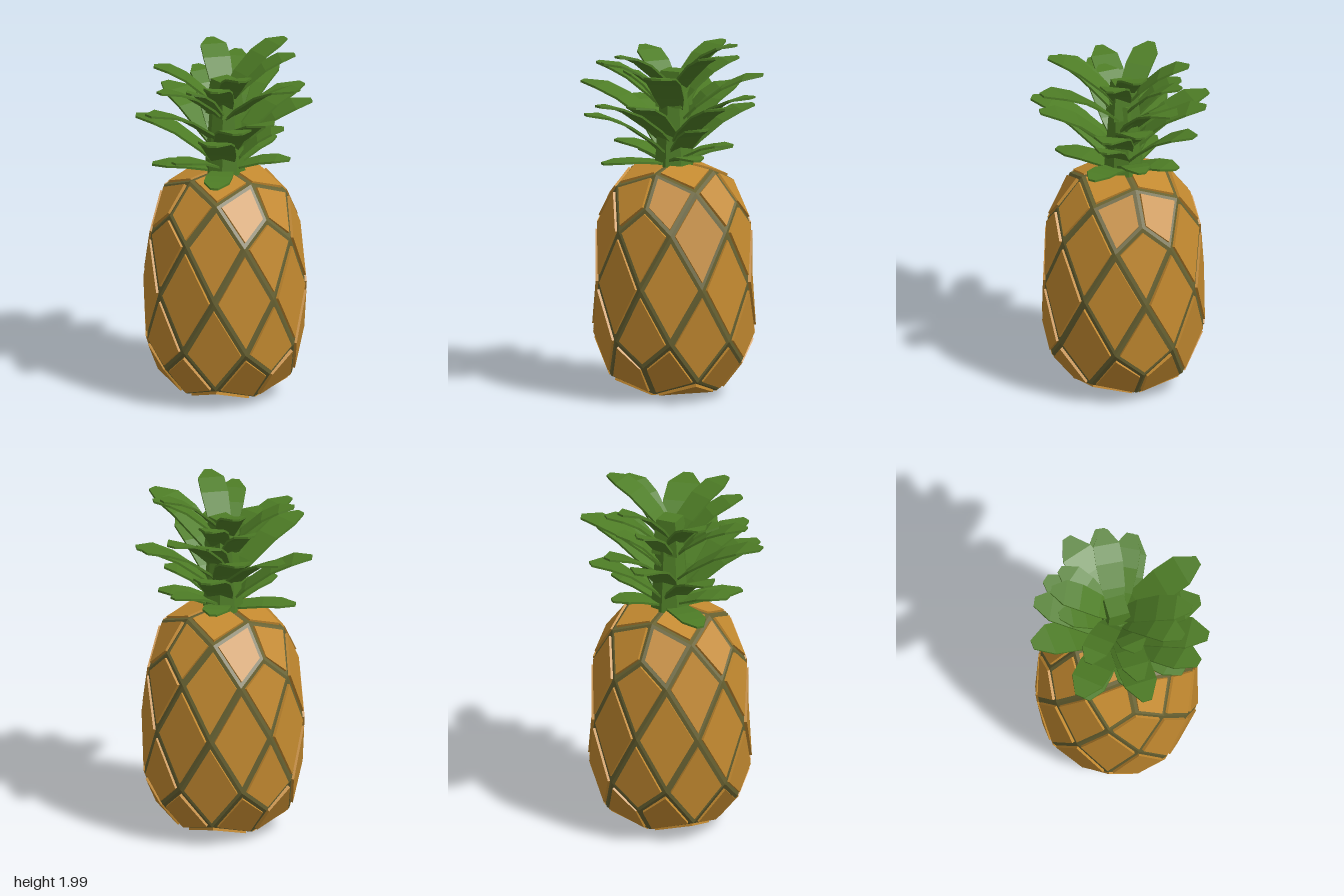
import * as THREE from 'three';

const material = (name, color) => Object.assign(new THREE.MeshStandardMaterial({ color }), { name });
const orange = material('orangeRind', 0xc48a30);
const olive = material('oliveGroove', 0x686232);
const green = material('leafGreen', 0x4e7d26);

const V = (x, y, z) => new THREE.Vector3(x, y, z);
const CENTRE = V(0.01, 0, -0.03); // axis of the fruit
const quadNormal = q => q[2].clone().sub(q[0]).cross(q[3].clone().sub(q[1])).normalize();

// Collects quads (corners counter-clockwise from outside), each with one normal
class QuadBuilder {
  constructor() { this.pos = []; this.nor = []; }
  quad(a, b, c, d) {
    const n = quadNormal([a, b, c, d]);
    for (const p of [a, b, c, a, c, d]) {
      this.pos.push(p.x, p.y, p.z);
      this.nor.push(n.x, n.y, n.z);
    }
  }
  mesh(mat, name) {
    const g = new THREE.BufferGeometry();
    g.setAttribute('position', new THREE.Float32BufferAttribute(this.pos, 3));
    g.setAttribute('normal', new THREE.Float32BufferAttribute(this.nor, 3));
    const m = new THREE.Mesh(g, mat);
    m.name = name;
    return m;
  }
}

// The 48 faces of the fruit: a rhombic dodecahedron with each rhombus cut in four
function fruitQuads() {
  const quads = [];
  for (let k = 0; k < 4; k++) {
    const P = (x, y, z) => {
      const f = 1 - 0.05 * y / 0.6; // slightly narrower at the top
      return V(x * f, y, z * f).applyAxisAngle(V(0, 1, 0), k * Math.PI / 2);
    };
    const A = P(0, 0, 0.444);
    for (const s of [1, -1]) {
      const B = m => P(0.168 * m, 0.305 * s, 0.396);
      const C = m => P(0.279 * m, 0.443 * s, 0.279);
      const E = m => P(0.178 * m, 0.613 * s, 0.178);
      const D = P(0, 0.53 * s, 0.354);
      const F = P(0, 0.646 * s, 0);
      quads.push([A, B(1), D, B(-1)], [F, E(1), D, E(-1)]);
      quads.push([B(1), P(0.316, 0, 0.316), P(0.396, 0.305 * s, 0.168), C(1)]);
      for (const m of [1, -1]) quads.push([C(m), B(m), D, E(m)]);
    }
    for (const m of [1, -1])
      quads.push([A, P(0.168 * m, 0.305, 0.396), P(0.316 * m, 0, 0.316), P(0.168 * m, -0.305, 0.396)]);
  }
  return quads;
}

// Grooved core with a raised tile on every face
function buildFruit() {
  const core = new QuadBuilder(), tiles = new QuadBuilder();
  for (const q of fruitQuads()) {
    const mid = q.reduce((s, p) => s.add(p), V(0, 0, 0));
    if (quadNormal(q).dot(mid) < 0) q.reverse();
    const n = quadNormal(q);
    core.quad(...q);
    const inset = q.map((p, i) => {
      const a = q[(i + 3) % 4].clone().sub(p).normalize();
      const b = q[(i + 1) % 4].clone().sub(p).normalize();
      const w = 0.02 / a.clone().cross(b).length();
      return p.clone().addScaledVector(a.add(b), w);
    });
    const top = inset.map(p => p.clone().addScaledVector(n, 0.014));
    const low = inset.map(p => p.clone().addScaledVector(n, -0.006));
    tiles.quad(...top);
    for (let i = 0; i < 4; i++) {
      const j = (i + 1) % 4;
      tiles.quad(low[i], low[j], top[j], top[i]);
    }
  }
  const g = new THREE.Group();
  g.name = 'fruit';
  g.add(core.mesh(olive, 'grooves'), tiles.mesh(orange, 'rindTiles'));
  g.position.set(CENTRE.x, 0.66, CENTRE.z);
  return g;
}

// One thin arching leaf from the stem to its tip: [t along leaf, half width]
const LEAF = [[0.04, 0.05], [0.26, 0.08], [0.55, 0.092], [0.79, 0.089], [1, 0.026]];
function buildLeaf([x, y, z], { width, lift }) {
  const dx = x - CENTRE.x, dz = z - CENTRE.z;
  const reach = Math.hypot(dx, dz);
  const out = V(dx / reach, 0, dz / reach), side = V(out.z, 0, -out.x);
  const baseY = Math.max(1.29, y - lift);
  const rise = y - baseY;
  const rings = LEAF.map(([t, w]) => {
    const c = CENTRE.clone().addScaledVector(out, reach * t);
    c.y = baseY + rise * (1 - (1 - t) ** 1.6) + 0.015 * Math.sin(Math.PI * t);
    const slope = 1.6 * rise * (1 - t) ** 0.6 / reach;
    const up = V(0, 1, 0).addScaledVector(out, -slope).normalize().multiplyScalar(0.006);
    return [[1, 1], [-1, 1], [-1, -1], [1, -1]].map(([s, u]) =>
      c.clone().addScaledVector(side, s * w * width).addScaledVector(up, u));
  });
  const b = new QuadBuilder();
  for (let r = 0; r + 1 < rings.length; r++)
    for (let i = 0; i < 4; i++) {
      const j = (i + 1) % 4;
      b.quad(rings[r][i], rings[r][j], rings[r + 1][j], rings[r + 1][i]);
    }
  const first = rings[0], last = rings[rings.length - 1];
  b.quad(first[3], first[2], first[1], first[0]);
  b.quad(...last);
  return b.mesh(green, 'leaf');
}

// Leaf tips by tier: x, y, z
const TIERS = {
  lowLeaves: { width: 0.8, lift: 0.25, tips: [[-0.39, 1.32, 0], [0.37, 1.37, -0.03],
    [0.01, 1.32, 0.39], [0.01, 1.37, -0.37], [0.25, 1.42, -0.28], [-0.24, 1.4, 0.22]] },
  middleLeaves: { width: 1.03, lift: 0.3, tips: [[-0.48, 1.6, 0.01], [-0.37, 1.68, -0.35],
    [-0.15, 1.7, -0.46], [0.03, 1.6, -0.49], [0.23, 1.8, -0.47], [0.395, 1.71, -0.35],
    [0.47, 1.67, -0.18], [0.45, 1.86, 0.24], [0.31, 1.68, 0.33], [0.15, 1.67, 0.47],
    [0.01, 1.6, 0.49], [-0.36, 1.72, 0.37]] },
  innerLeaves: { width: 0.85, lift: 0.27, tips: [[0.33, 1.53, -0.08], [-0.31, 1.83, 0.3],
    [0.06, 1.74, -0.33]] },
  topLeaves: { width: 0.82, lift: 0.27, tips: [[-0.38, 1.89, 0.01], [0.01, 1.88, 0.39],
    [0.16, 1.94, 0.36], [0.38, 1.94, -0.15], [0.31, 1.99, -0.28], [0.03, 1.87, -0.4],
    [-0.12, 1.94, -0.37], [-0.19, 1.81, -0.28], [-0.16, 1.8, 0.2]] },
};

function buildCrown() {
  const crown = new THREE.Group();
  crown.name = 'crown';
  for (const [name, spec] of Object.entries(TIERS)) {
    const tier = new THREE.Group();
    tier.name = name;
    for (const tip of spec.tips) tier.add(buildLeaf(tip, spec));
    crown.add(tier);
  }
  // Tapered stem and four-sided bud in the middle
  const cylinder = (name, rTop, rBottom, y0, y1, sides) => {
    const shape = new THREE.CylinderGeometry(rTop, rBottom, y1 - y0, sides).toNonIndexed();
    shape.computeVertexNormals();
    const m = new THREE.Mesh(shape, green);
    m.name = name;
    m.position.set(CENTRE.x, (y0 + y1) / 2, CENTRE.z);
    crown.add(m);
  };
  cylinder('stem', 0.08, 0.115, 1.27, 1.7, 8);
  cylinder('bud', 0.08, 0.11, 1.62, 1.82, 4);
  return crown;
}

export function createModel() {
  const model = new THREE.Group();
  model.name = 'pineapple';
  model.add(buildFruit(), buildCrown());
  return model;
}
